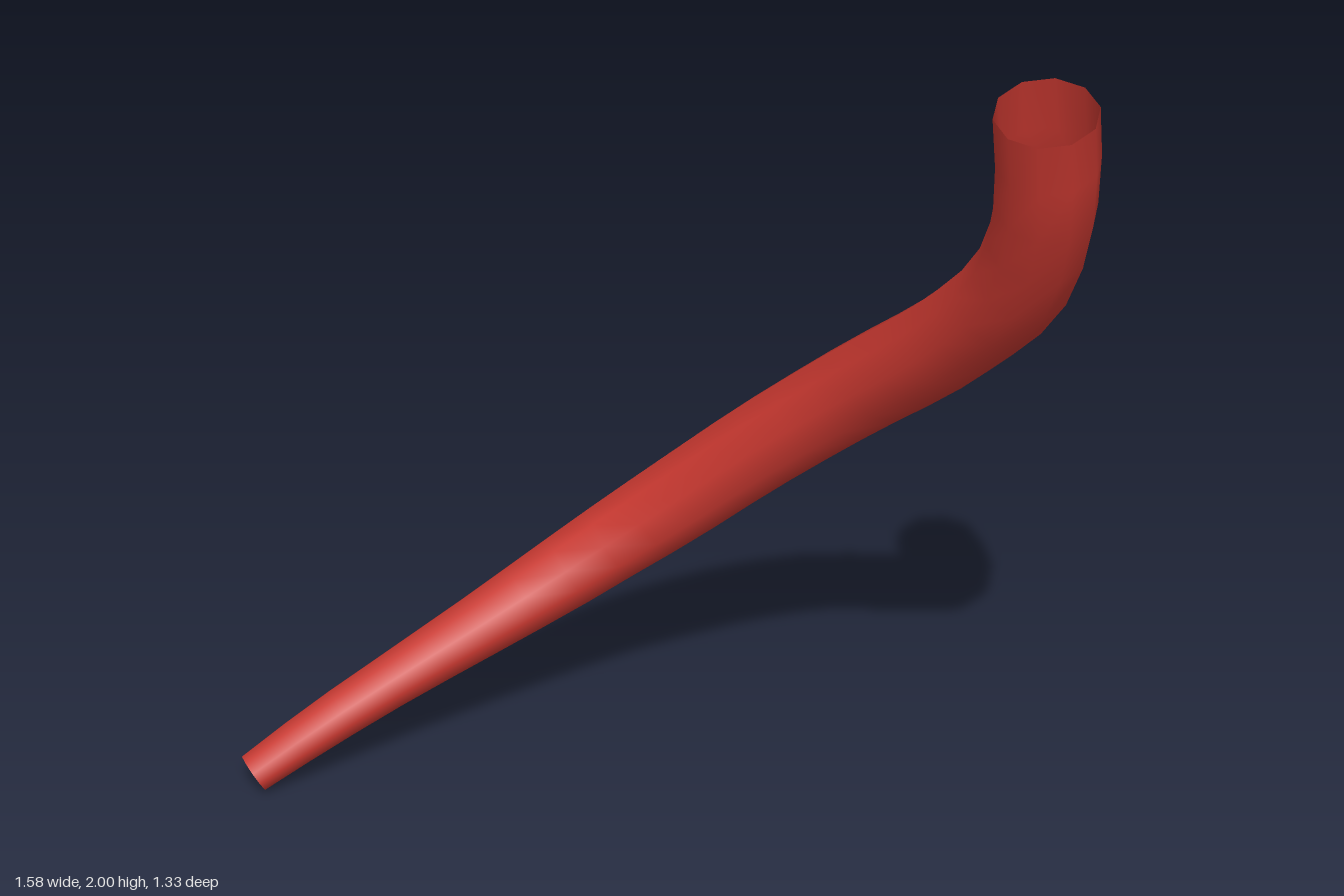
import * as THREE from 'three';

export function createModel() {
  const group = new THREE.Group();
  group.name = 'curvedHorn';

  const red = new THREE.MeshStandardMaterial({ color: 0xc83830, side: THREE.DoubleSide });
  red.name = 'red';

  // centre line from the thin low end to the wide top: x, y, z, radius
  const stations = [
    [-0.768, 0.047, -0.60, 0.05],
    [-0.60, 0.14, -0.59, 0.059],
    [-0.40, 0.232, -0.587, 0.067],
    [-0.20, 0.318, -0.585, 0.079],
    [0.00, 0.415, -0.573, 0.093],
    [0.14, 0.51, -0.535, 0.1],
    [0.26, 0.62, -0.465, 0.106],
    [0.41, 0.80, -0.33, 0.108],
    [0.55, 1.01, -0.135, 0.109],
    [0.65, 1.265, 0.15, 0.109],
    [0.68, 1.50, 0.375, 0.109],
    [0.655, 1.76, 0.51, 0.11],
    [0.615, 1.973, 0.56, 0.11],
  ];
  const curve = new THREE.CatmullRomCurve3(
    stations.map(([x, y, z]) => new THREE.Vector3(x, y, z)), false, 'centripetal');

  // open tube whose rings are scaled to the taper
  const segments = 24, sides = 10;
  const geometry = new THREE.TubeGeometry(curve, segments, 1, sides, false);
  const position = geometry.attributes.position;
  const normal = geometry.attributes.normal;
  const last = stations.length - 1;
  for (let i = 0; i <= segments; i++) {
    const centre = curve.getPointAt(i / segments);
    const t = curve.getUtoTmapping(i / segments) * last;
    const k = Math.min(Math.floor(t), last - 1);
    const radius = THREE.MathUtils.lerp(stations[k][3], stations[k + 1][3], t - k);
    for (let j = 0; j <= sides; j++) {
      const n = i * (sides + 1) + j;
      const v = new THREE.Vector3().fromBufferAttribute(normal, n).multiplyScalar(radius).add(centre);
      position.setXYZ(n, v.x, v.y, v.z);
    }
  }

  const horn = new THREE.Mesh(geometry, red);
  horn.name = 'taperedTube';
  group.add(horn);
  return group;
}
